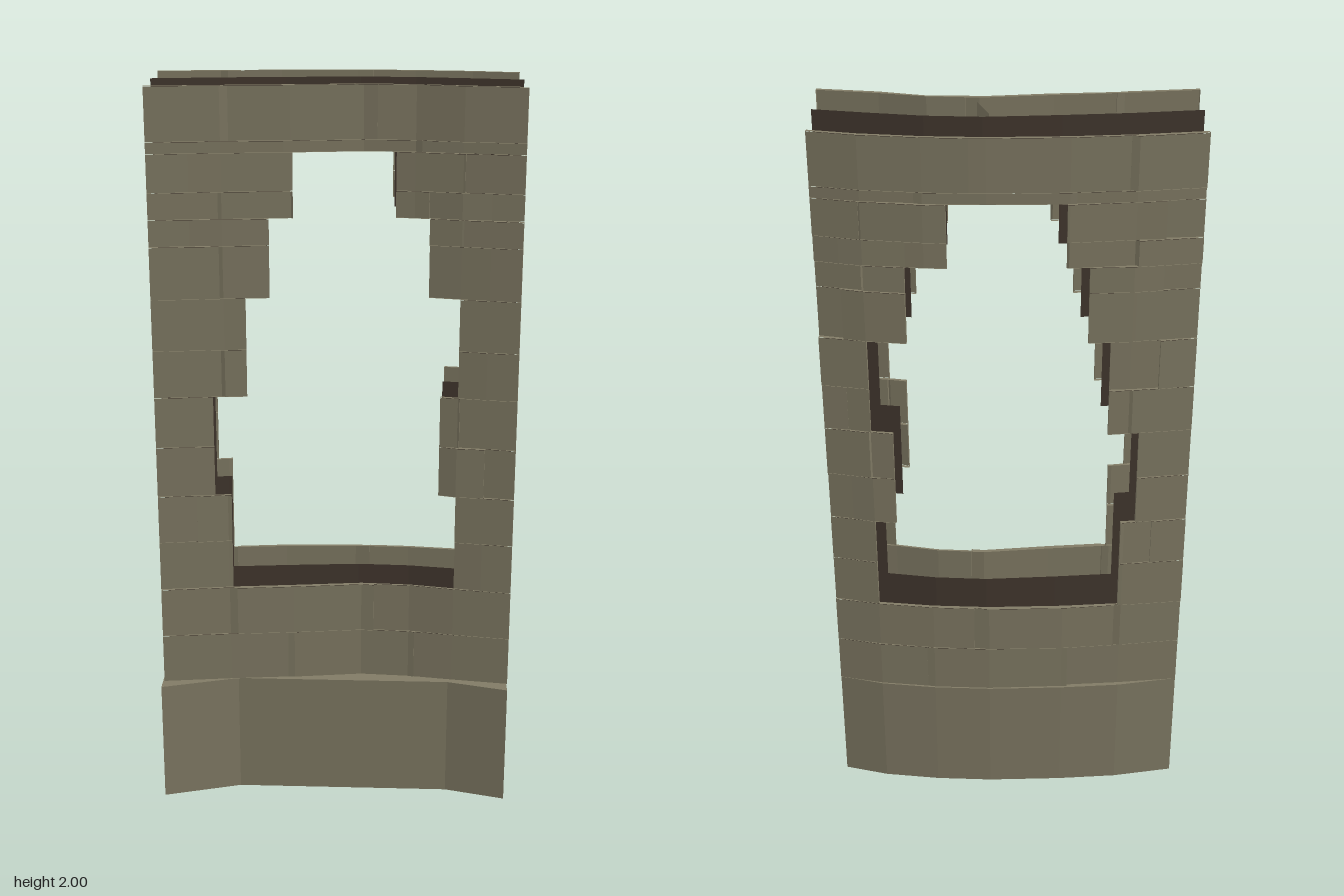
import * as THREE from 'three';

const stone = new THREE.MeshStandardMaterial({ color: 0x817b65, side: THREE.DoubleSide });
stone.name = 'weathered stone';
const darkCore = new THREE.MeshStandardMaterial({ color: 0x43382f, side: THREE.DoubleSide });
darkCore.name = 'dark core';

// plan curves [x, z], sharing the same stations along the wall
const STATIONS = [0, 0.17, 0.34, 0.53, 0.68, 0.85, 1];
const OUTER = [[-0.165, -0.478], [-0.045, -0.36], [0.065, -0.24], [0.195, -0.085], [0.285, 0.04], [0.365, 0.17], [0.422, 0.28]];
const INNER = [[-0.395, -0.3], [-0.262, -0.165], [-0.14, -0.035], [-0.01, 0.1], [0.065, 0.21], [0.122, 0.32], [0.2, 0.457]];
const CORE = OUTER.map((p, i) => [(p[0] + INNER[i][0]) / 2, (p[1] + INNER[i][1]) / 2]);
const BASE_INNER = [[-0.428, -0.28], [-0.25, -0.15], [0.105, 0.32], [0.17, 0.478]];
const LEDGE = 0.345;

// window edges by height: [bottom, top, left station, right station]
const OPENING = [
  [0.625, 0.9, 0.18, 0.85], [0.9, 1.18, 0.14, 0.785], [1.18, 1.45, 0.225, 0.85],
  [1.45, 1.66, 0.285, 0.735], [1.66, 1.83, 0.345, 0.625],
];
const COURSES = [LEDGE, 0.485, 0.625, 0.765, 0.9, 1.04, 1.18, 1.31, 1.45, 1.59, 1.66, 1.73, 1.83, 1.86, 2];

let seed = 7;
const random = () => (seed = (seed * 16807) % 2147483647) / 2147483647;

function pointAt(path, u) {
  let i = 0;
  while (i < STATIONS.length - 2 && u > STATIONS[i + 1]) i++;
  const k = (u - STATIONS[i]) / (STATIONS[i + 1] - STATIONS[i]);
  return [0, 1].map((a) => path[i][a] + (path[i + 1][a] - path[i][a]) * k);
}

// moves a point of the curve outwards (side 1 = convex face, -1 = concave face)
function offsetPoint(path, u, side, d) {
  const a = pointAt(path, Math.max(0, u - 0.02)), b = pointAt(path, Math.min(1, u + 0.02));
  const dx = b[0] - a[0], dz = b[1] - a[1], l = Math.hypot(dx, dz);
  const p = pointAt(path, u);
  return [p[0] + (dz / l) * side * d, p[1] - (dx / l) * side * d];
}

function meshFromQuads(quads, material, name) {
  const pos = [];
  for (const [a, b, c, d] of quads) pos.push(...a, ...b, ...c, ...a, ...c, ...d);
  const g = new THREE.BufferGeometry();
  g.setAttribute('position', new THREE.Float32BufferAttribute(pos, 3));
  g.computeVertexNormals();
  const mesh = new THREE.Mesh(g, material);
  mesh.name = name;
  return mesh;
}

const at = (p, y) => [p[0], y, p[1]];

// upright sheet over a list of plan points
function sheetQuads(points, y0, y1, side) {
  const quads = [];
  for (let i = 0; i < points.length - 1; i++) {
    const q = [at(points[i], y0), at(points[i + 1], y0), at(points[i + 1], y1), at(points[i], y1)];
    quads.push(side > 0 ? q.reverse() : q);
  }
  return quads;
}

const stationsBetween = (u0, u1) => [u0, ...STATIONS.filter((s) => s > u0 + 0.001 && s < u1 - 0.001), u1];

// curved block face with shallow returned edges
function brick(path, side, u0, u1, y0, y1) {
  const us = stationsBetween(u0, u1);
  const lean = (random() - 0.5) * 0.006;
  const front = us.map((u, i) => offsetPoint(path, u, side, 0.002 + lean + (random() - 0.5) * 0.006));
  const back = us.map((u) => offsetPoint(path, u, side, -0.006));
  const quads = sheetQuads(front, y0 + 0.001, y1 - 0.001, side);
  const flip = (q) => (side > 0 ? q.reverse() : q);
  for (let i = 0; i < us.length - 1; i++) {
    quads.push(flip([at(front[i], y1), at(front[i + 1], y1), at(back[i + 1], y1), at(back[i], y1)]));
    quads.push(flip([at(back[i], y0), at(back[i + 1], y0), at(front[i + 1], y0), at(front[i], y0)]));
  }
  const e = us.length - 1;
  quads.push(flip([at(back[0], y0), at(front[0], y0), at(front[0], y1), at(back[0], y1)]));
  quads.push(flip([at(front[e], y0), at(back[e], y0), at(back[e], y1), at(front[e], y1)]));
  return meshFromQuads(quads, stone, 'brick');
}

// solid spans of the wall at a height
function spansAt(y) {
  const o = OPENING.find((r) => y > r[0] && y < r[1]);
  return o ? [[0, o[2]], [o[3], 1]] : [[0, 1]];
}

function brickFace(path, side, name) {
  const face = new THREE.Group();
  face.name = name;
  for (let r = 0; r < COURSES.length - 1; r++) {
    const y0 = COURSES[r], y1 = COURSES[r + 1];
    for (const [a, b] of spansAt((y0 + y1) / 2)) {
      const step = b - a > 0.9 ? 0.38 : 0.19;
      const cuts = [a];
      for (let u = step * (r % 2 ? 0.5 : 0.85); u < b - 0.06; u += step) if (u > a + 0.06) cuts.push(u);
      cuts.push(b);
      for (let i = 0; i < cuts.length - 1; i++) face.add(brick(path, side, cuts[i], cuts[i + 1], y0, y1));
    }
  }
  return face;
}

export function createModel() {
  const model = new THREE.Group();
  model.name = 'curved wall with window';

  // two brick skins
  model.add(brickFace(OUTER, 1, 'outerBricks'), brickFace(INNER, -1, 'innerBricks'));

  // dark sheet standing between the skins
  const rows = [[LEDGE, 0.625], ...OPENING, [1.83, 2]];
  const coreQuads = [];
  for (const [y0, y1] of rows)
    for (const [a, b] of spansAt((y0 + y1) / 2))
      coreQuads.push(...sheetQuads(stationsBetween(a, b).map((u) => pointAt(CORE, u)), y0, y1, 1));
  model.add(meshFromQuads(coreQuads, darkCore, 'wallCore'));

  // plinth skirts and ledge
  const baseOuter = STATIONS.map((u) => offsetPoint(OUTER, u, 1, u === 0 || u === 1 ? 0 : 0.008));
  model.add(meshFromQuads(sheetQuads(baseOuter, 0, LEDGE, 1), stone, 'outerPlinth'));
  model.add(meshFromQuads(sheetQuads(BASE_INNER, 0, LEDGE, -1), stone, 'innerPlinth'));
  const outline = [...BASE_INNER, ...baseOuter.slice().reverse()].map(([x, z]) => new THREE.Vector2(x, -z));
  const ledge = new THREE.Mesh(new THREE.ShapeGeometry(new THREE.Shape(outline)), stone);
  ledge.name = 'ledge';
  ledge.rotation.x = -Math.PI / 2;
  ledge.position.y = LEDGE;
  model.add(ledge);

  // loose brick flakes behind the inner skin: [x0, z0, x1, z1, bottom, top]
  const flakes = [
    [0, 0.1, 0.045, 0.025, 1.86, 1.99], [-0.37, -0.28, -0.345, -0.325, LEDGE, 0.48],
    [-0.275, -0.2, -0.25, -0.268, 1.6, 1.66], [0.205, 0.45, 0.245, 0.335, LEDGE, 0.42],
  ];
  for (const [x0, z0, x1, z1, y0, y1] of flakes)
    model.add(meshFromQuads(sheetQuads([[x0, z0], [x1, z1]], y0, y1, 1), stone, 'brickFlake'));

  return model;
}
